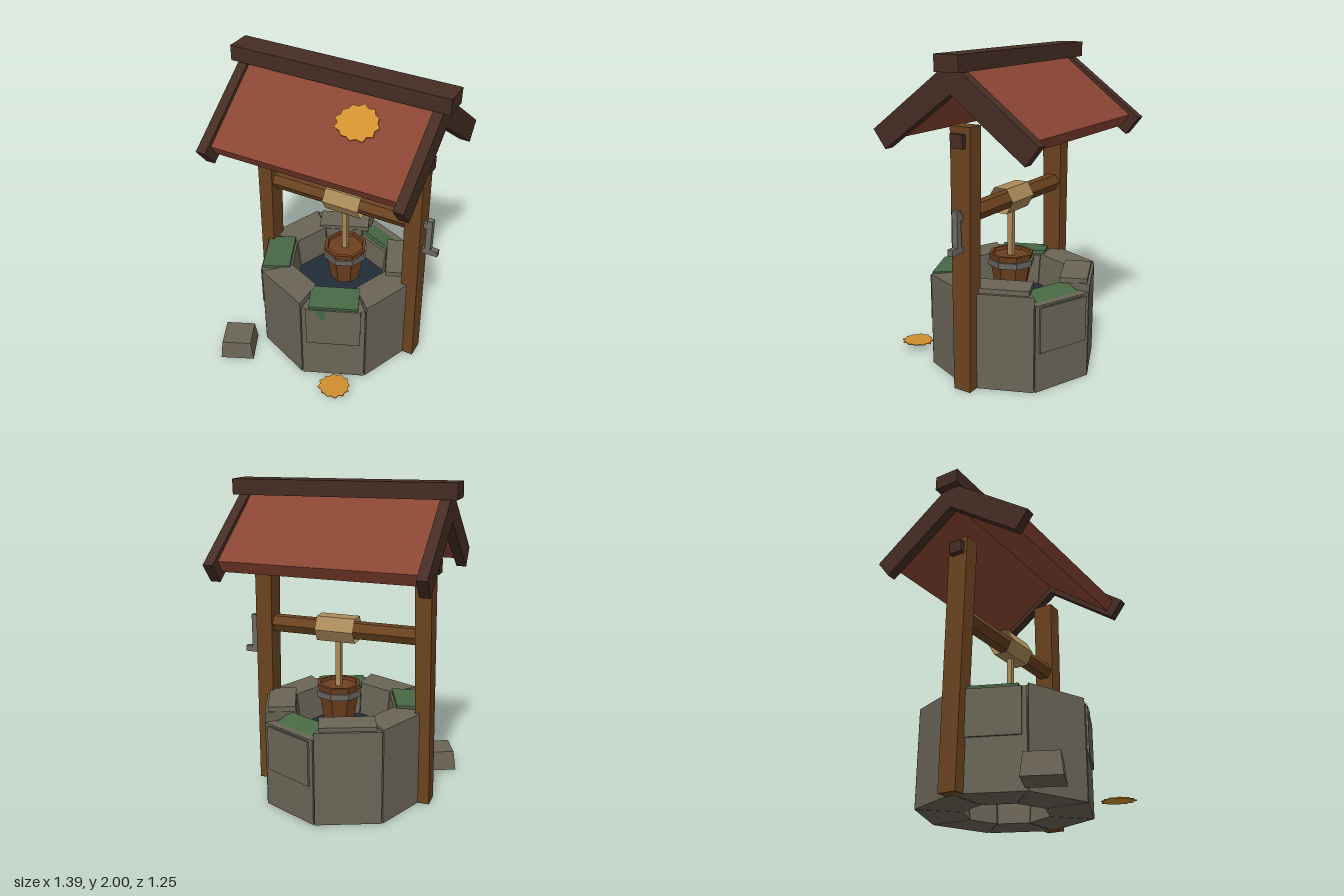
import * as THREE from 'three';
import { ConvexGeometry } from 'three/addons/geometries/ConvexGeometry.js';

const mat = (name, color, side = THREE.FrontSide) => {
  const m = new THREE.MeshStandardMaterial({ color, flatShading: true, side });
  m.name = name;
  return m;
};

export function createModel() {
  const stone = mat('stone', 0x6b6557);
  const moss = mat('moss', 0x476845);
  const wood = mat('wood', 0x6b4320);
  const darkWood = mat('dark wood', 0x452d24);
  const roofRed = mat('roof red', 0x8a4534);
  const rope = mat('rope', 0xab8b59, THREE.DoubleSide);
  const leafOrange = mat('leaf orange', 0xcf902f, THREE.DoubleSide);
  const metal = mat('metal', 0x6c6a64);
  const water = mat('water', 0x222d38, THREE.DoubleSide);
  const bucketWood = mat('bucket wood', 0x6e3f1f);

  const model = new THREE.Group();
  model.name = 'well';
  const CZ = -0.07; // depth of the well axis

  const add = (name, geo, material, x = 0, y = 0, z = 0, parent = model) => {
    const mesh = new THREE.Mesh(geo, material);
    mesh.name = name;
    mesh.position.set(x, y, z);
    parent.add(mesh);
    return mesh;
  };
  const box = (w, h, d) => new THREE.BoxGeometry(w, h, d);

  // Hull between a lower and an upper rectangle, each [x0, x1, y, z0, z1]
  const taper = (...rects) => new ConvexGeometry(rects.flatMap(([x0, x1, y, z0, z1]) =>
    [[x0, z0], [x1, z0], [x1, z1], [x0, z1]].map(([x, z]) => new THREE.Vector3(x, y, z))));

  // Ring of eight wall blocks with thin gaps and uneven tops
  const R = 0.535, STEP = Math.PI / 4;
  const heights = [0.58, 0.605, 0.605, 0.55, 0.595, 0.605, 0.595, 0.612];
  heights.forEach((h, i) => {
    const pts = [];
    for (const a of [i * STEP + 0.008, (i + 1) * STEP - 0.008]) {
      for (const [r, y] of [[R, 0], [R, h], [0.26, 0], [0.33, h]]) {
        pts.push(new THREE.Vector3(Math.sin(a) * r, y, Math.cos(a) * r));
      }
    }
    add('wallBlock', new ConvexGeometry(pts), stone, 0, 0, CZ);
  });
  // Dark mortar core behind the gaps
  const core = new THREE.CylinderGeometry(0.515, 0.515, 0.5, 8, 1, true);
  add('mortar', core, stone, 0, 0.28, CZ);
  add('water', new THREE.CircleGeometry(0.31, 8).rotateX(-Math.PI / 2), water, 0, 0.4, CZ);

  // Local frame on one wall face: +z points outward
  const faceGroup = (i, name) => {
    const g = new THREE.Group();
    g.name = name;
    g.position.z = CZ;
    g.rotation.y = (i + 0.5) * STEP;
    model.add(g);
    return g;
  };
  const APO = R * Math.cos(STEP / 2);

  // Facing stones with a mossy top: [face, bottom, top, tilt]
  for (const [i, y0, y1, tilt] of [[0, 0.29, 0.58, 0.08], [3, 0.25, 0.535, 0.25], [6, 0.31, 0.592, 0.06]]) {
    const g = faceGroup(i, 'mossyStone');
    add('facingStone', box(0.345, y1 - y0, 0.1), stone, 0, (y0 + y1) / 2, APO - 0.036, g);
    const top = add('mossTop', box(0.31, 0.025, 0.18), moss, 0, y1 + 0.013, APO - 0.085, g);
    top.rotation.x = tilt;
  }
  // Moss dripping down the front stone
  const drip = new THREE.Shape([[-0.05, 0.1], [0.05, 0.1], [0.035, 0.05], [0.04, 0], [0.01, 0.02], [-0.01, 0.06]]
    .map(p => new THREE.Vector2(...p)));
  add('mossDrip', new THREE.ShapeGeometry(drip), moss, -0.09, 0.485, APO + 0.017, faceGroup(0, 'mossDripGroup'));

  // Raised plain capstones
  for (const [i, y] of [[2, 0.618], [4, 0.603]]) {
    add('capstone', box(0.34, 0.034, 0.17), stone, 0, y, APO - 0.1, faceGroup(i, 'capstoneGroup'));
  }

  // Leaning posts with pegs near the top
  add('leftPost', taper([0.48, 0.585, 0, -0.127, -0.012], [0.46, 0.568, 1.59, -0.138, -0.002]), wood);
  add('rightPost', taper([-0.585, -0.495, 0, -0.127, -0.012], [-0.562, -0.458, 1.585, -0.138, -0.002]), wood);
  for (const s of [-1, 1]) add('peg', box(0.05, 0.08, 0.085), darkWood, s * 0.572, 1.51, -0.065);

  // Roof: chevron profiles extruded along x
  const chevron = (pts, x0, x1) => {
    const outline = [...pts, ...pts.slice(1, 3).reverse().map(([u, v]) => [-u, v])];
    const order = [outline[0], outline[1], outline[2], outline[3] && pts[3], outline[4], outline[5]];
    const shape = new THREE.Shape(order.map(p => new THREE.Vector2(...p)));
    return new THREE.ExtrudeGeometry(shape, { depth: x1 - x0, bevelEnabled: false })
      .rotateY(Math.PI / 2).translate(x0, 0, CZ);
  };
  // Points run: top apex, outer top corner, outer lower corner, underside apex
  add('roofPanels', chevron([[0, 1.925], [0.49, 1.555], [0.445, 1.485], [0, 1.815]], -0.6, 0.595), roofRed);
  for (const x of [-0.655, 0.59]) {
    add('gableBoards', chevron([[0, 1.947], [0.555, 1.54], [0.47, 1.43], [0, 1.77]], x, x + 0.062), darkWood);
  }
  const ridge = add('ridgeBeam', box(1.39, 0.095, 0.162), darkWood, -0.003, 1.945, -0.077);
  ridge.rotation.z = -0.01;

  // Hexagonal axle and rope drum, both along x
  const hex = (r, len, open) => new THREE.CylinderGeometry(r, r, len, 6, 1, open).rotateZ(Math.PI / 2);
  add('axle', hex(0.058, 1.04), wood, -0.045, 1.08, CZ);
  add('ropeDrum', hex(0.09, 0.25, true), rope, 0.04, 1.082, CZ);
  add('hangingRope', box(0.034, 0.34, 0.034), rope, 0.037, 0.85, CZ);

  // Crank on the left side
  add('crankAxle', box(0.06, 0.035, 0.035), metal, 0.585, 1.08, CZ);
  add('crankArm', box(0.037, 0.25, 0.037), metal, 0.612, 0.997, CZ);
  add('crankGrip', box(0.1, 0.037, 0.037), metal, 0.627, 0.89, CZ);

  // Eight-sided bucket with an iron band
  const bucket = new THREE.Group();
  bucket.name = 'bucket';
  bucket.position.set(0.038, 0, CZ);
  model.add(bucket);
  const profile = [[0, 0.47], [0.1, 0.47], [0.143, 0.725], [0.122, 0.725], [0.118, 0.705], [0, 0.705]]
    .map(p => new THREE.Vector2(...p));
  add('bucketBody', new THREE.LatheGeometry(profile, 8), bucketWood, 0, 0, 0, bucket);
  add('bucketBand', new THREE.CylinderGeometry(0.15, 0.146, 0.04, 8), metal, 0, 0.668, 0, bucket);

  // Loose stone beside the well
  const loose = add('looseStone', taper([-0.11, 0.11, 0, -0.11, 0.11], [-0.095, 0.095, 0.13, -0.095, 0.095]),
    stone, -0.495, 0, 0.47);
  loose.rotation.y = 0.42;

  // Ragged autumn leaves
  const leaf = (rx, ry) => {
    const pts = [];
    for (let i = 0; i < 24; i++) {
      const a = i / 24 * Math.PI * 2, r = i % 2 ? 0.84 : 0.97 + 0.05 * Math.sin(i * 2.3);
      pts.push(new THREE.Vector2(Math.cos(a) * r * rx, Math.sin(a) * r * ry));
    }
    return new THREE.ExtrudeGeometry(new THREE.Shape(pts), { depth: 0.006, bevelEnabled: false });
  };
  const roofLeaf = add('roofLeaf', leaf(0.14, 0.118), leafOrange, 0.21, 1.785, 0.137);
  roofLeaf.rotation.x = -Math.PI / 2 + 0.64;
  const groundLeaf = add('groundLeaf', leaf(0.108, 0.104), leafOrange, 0.267, 0.054, 0.522);
  groundLeaf.rotation.set(-Math.PI / 2, -0.06, 0);

  return model;
}
